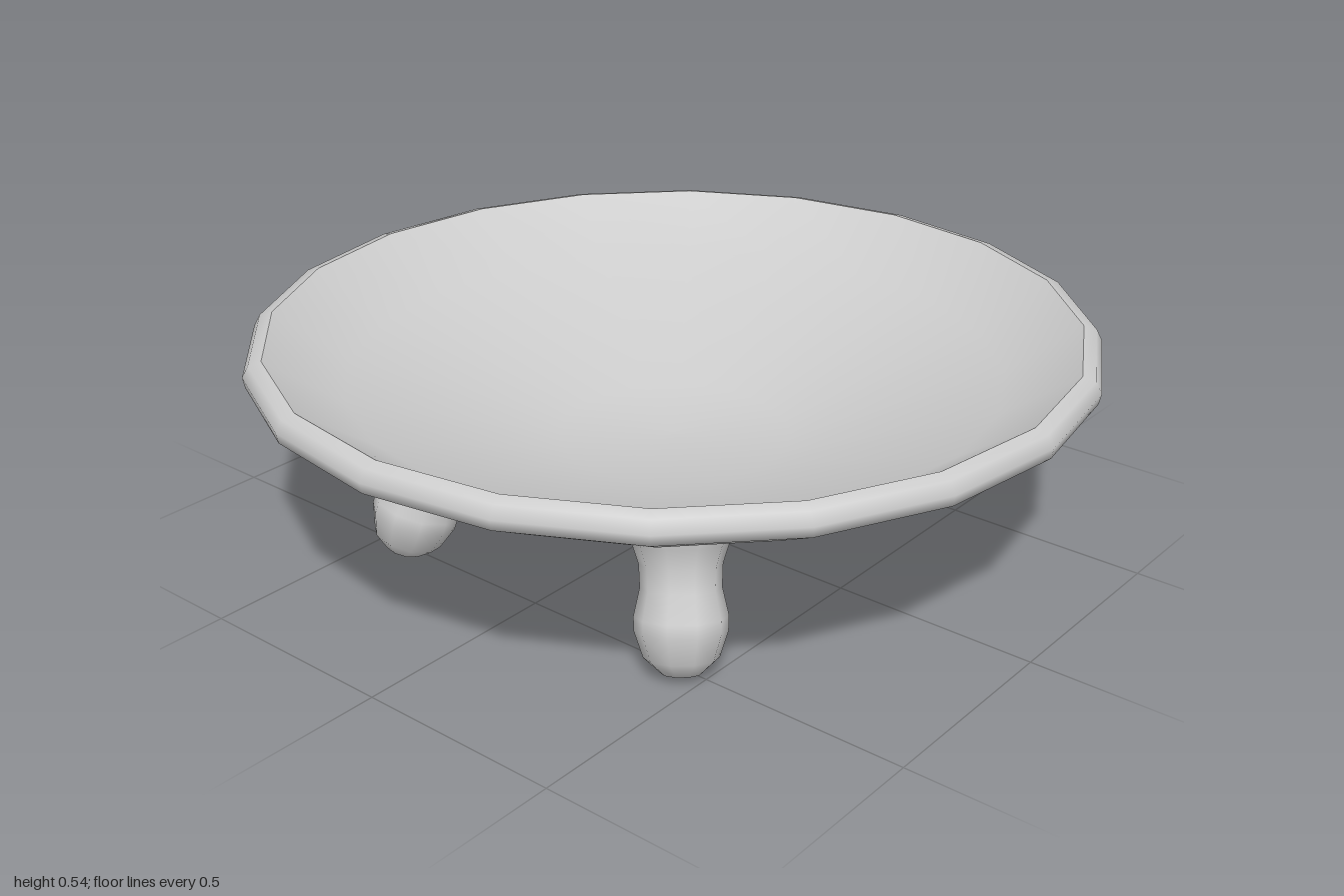
import * as THREE from 'three';

const SIDES = 20;
const TWIST = 0.015; // slight turn of the faceted bowl about its axis
const FLAT_RADIUS = 0.28, FLAT_Y = 0.2;
const SLOPE = (0.375 - FLAT_Y) / (0.8 - FLAT_RADIUS); // underside cone

const material = new THREE.MeshStandardMaterial({ color: 0xcccccc });

function lathe(name, profile, sides, phiStart = 0) {
  const points = profile.map(([r, y]) => new THREE.Vector2(r, y));
  const mesh = new THREE.Mesh(new THREE.LatheGeometry(points, sides, phiStart), material);
  mesh.name = name;
  return mesh;
}

// A stubby leg set square to the sloping underside, with a rounded foot.
function createLeg(name, x, z) {
  const footRadius = Math.hypot(x, z);
  const topRadius = footRadius - 0.065;
  const topY = FLAT_Y + (topRadius - FLAT_RADIUS) * SLOPE;

  const leg = lathe(name, [
    [0, -0.31], [0.045, -0.301], [0.082, -0.268], [0.102, -0.21],
    [0.102, -0.18], [0.088, -0.12], [0.09, -0.07], [0.105, -0.025],
    [0.124, 0], [0.124, 0.016],
  ], 10);
  leg.rotation.z = Math.atan(SLOPE);
  leg.position.set(topRadius, topY, 0);
  leg.scale.y = topY / 0.3;

  const pivot = new THREE.Group();
  pivot.name = name + 'Pivot';
  pivot.rotation.y = Math.atan2(-z, x);
  pivot.add(leg);
  return pivot;
}

export function createModel() {
  const model = new THREE.Group();
  model.name = 'footedDish';

  // Underside and rounded rim
  model.add(lathe('bowlOuter', [
    [0, FLAT_Y], [FLAT_RADIUS, FLAT_Y], [0.8, 0.375], [0.995, 0.485],
    [1, 0.51], [0.985, 0.537], [0.955, 0.545],
  ], SIDES, TWIST));

  // Shallow hollow, separate so the inner rim edge stays sharp
  model.add(lathe('bowlInner', [
    [0.955, 0.545], [0.78, 0.425], [FLAT_RADIUS, 0.25], [0, 0.245],
  ], SIDES, TWIST));

  // Four splayed legs, placed by the centre of each foot
  model.add(
    createLeg('frontRightLeg', -0.385, 0.505),
    createLeg('frontLeftLeg', 0.435, 0.505),
    createLeg('backLeftLeg', 0.43, -0.49),
    createLeg('backRightLeg', -0.385, -0.485),
  );
  return model;
}
